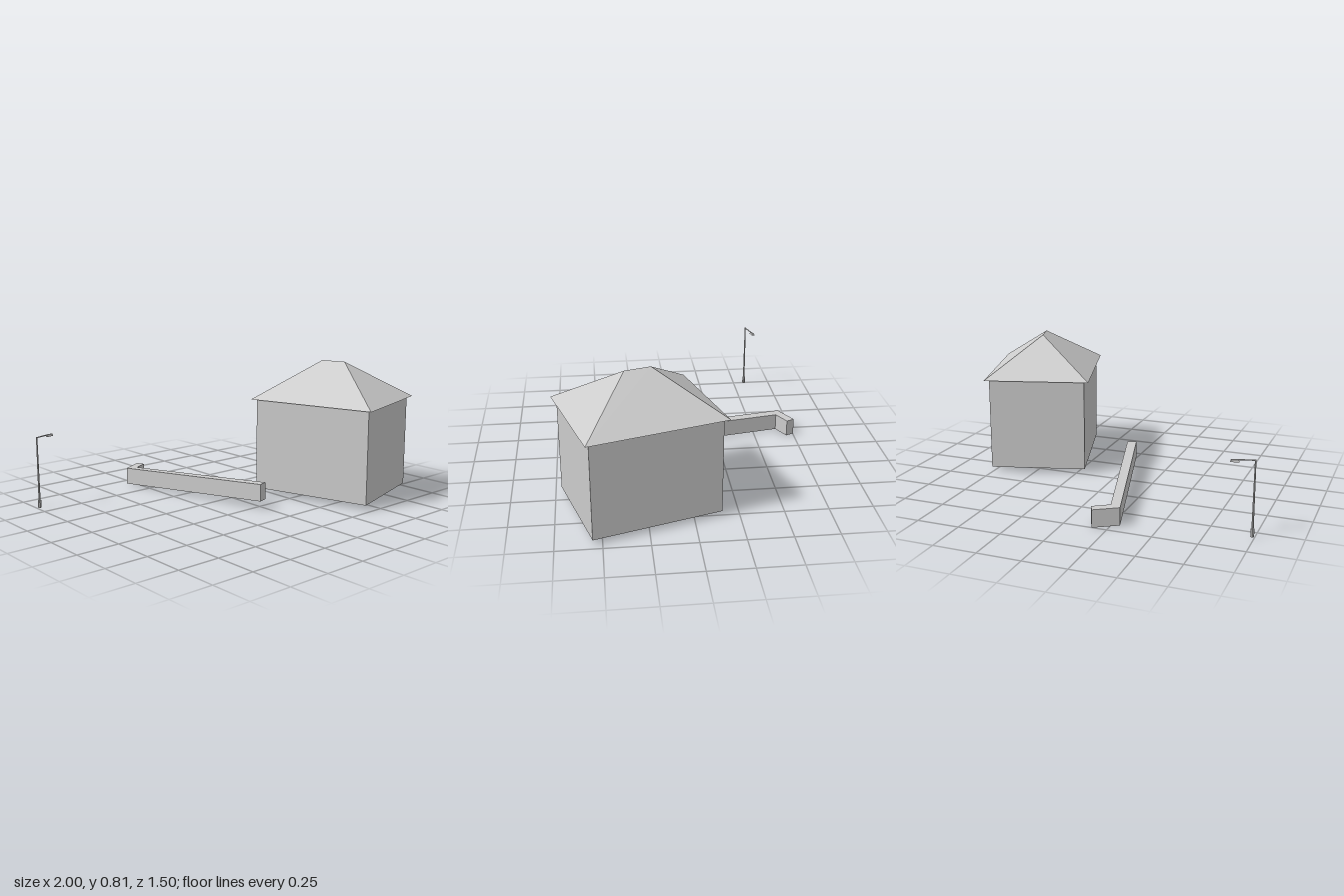
import * as THREE from 'three';

const material = new THREE.MeshStandardMaterial({ color: 0xcccccc, flatShading: true, side: THREE.DoubleSide });
const TURN = 0.288; // shared heading of house and lamp arm

function add(parent, name, geometry, x = 0, y = 0, z = 0) {
  const mesh = new THREE.Mesh(geometry, material);
  mesh.name = name;
  mesh.position.set(x, y, z);
  parent.add(mesh);
  return mesh;
}

// Triangulates three- or four-cornered faces
function facesGeometry(faces) {
  const points = [];
  for (const [a, b, c, d] of faces) {
    points.push(...a, ...b, ...c);
    if (d) points.push(...a, ...c, ...d);
  }
  const geometry = new THREE.BufferGeometry();
  geometry.setAttribute('position', new THREE.Float32BufferAttribute(points, 3));
  geometry.computeVertexNormals();
  return geometry;
}

// Open-bottomed house with an overhanging hip roof
function createHouse() {
  const house = new THREE.Group();
  house.name = 'house';
  house.position.set(0.581, 0, 0.281);
  house.rotation.y = TURN;

  const ring = (w, d, y) => [[-w, y, d], [w, y, d], [w, y, -d], [-w, y, -d]];
  const low = ring(0.291, 0.368, 0.03);
  const high = ring(0.291, 0.368, 0.59);
  add(house, 'houseWalls', facesGeometry(low.map((p, i) => {
    const j = (i + 1) % 4;
    return [p, low[j], high[j], high[i]];
  })));

  const [a, b, c, d] = ring(0.319, 0.393, 0.588);
  const front = [0, 0.815, 0.074];
  const back = [0, 0.815, -0.074];
  add(house, 'hipRoof', facesGeometry([[a, b, front], [b, c, back, front], [c, d, back], [d, a, front, back]]));
  return house;
}

// Sloping L-shaped garden wall, open underneath
function createGardenWall() {
  const outer = [[-0.04, 0.05, 0.298], [-0.298, 0.004, -0.675], [-0.165, 0.001, -0.752]];
  const inner = [[0.015, 0.05, 0.282], [-0.235, 0.004, -0.65], [-0.143, 0.001, -0.703]];
  const up = ([x, y, z]) => [x, y + 0.102, z];
  const faces = [];
  for (let i = 0; i < 2; i++) {
    const [o, p, n, m] = [outer[i], outer[i + 1], inner[i], inner[i + 1]];
    faces.push([p, o, up(o), up(p)], [n, m, up(m), up(n)], [up(o), up(n), up(m), up(p)]);
  }
  faces.push([outer[0], inner[0], up(inner[0]), up(outer[0])]);
  faces.push([inner[2], outer[2], up(outer[2]), up(inner[2])]);
  const wall = new THREE.Group();
  wall.name = 'gardenWall';
  add(wall, 'wallShell', facesGeometry(faces));
  return wall;
}

// Street lamp: base, pole, arm and a tapered head
function createLamp() {
  const lamp = new THREE.Group();
  lamp.name = 'streetLamp';
  lamp.position.set(-0.989, 0, -0.572);
  lamp.rotation.y = TURN;
  add(lamp, 'lampBase', new THREE.CylinderGeometry(0.01, 0.01, 0.044, 8), 0, 0.029, 0);
  add(lamp, 'lampPole', new THREE.CylinderGeometry(0.004, 0.006, 0.38, 8), 0, 0.238, 0);
  const arm = add(lamp, 'lampArm', new THREE.CylinderGeometry(0.0035, 0.0035, 0.11, 8), 0.052, 0.425, 0);
  arm.rotation.z = Math.PI / 2;

  const head = new THREE.BoxGeometry(0.046, 0.012, 0.02);
  const p = head.attributes.position;
  for (let i = 0; i < p.count; i++) {
    if (p.getY(i) > 0) p.setXYZ(i, p.getX(i) * 0.85, p.getY(i), p.getZ(i) * 0.65);
    if (p.getX(i) < 0) p.setZ(i, p.getZ(i) * 0.7);
  }
  head.computeVertexNormals();
  add(lamp, 'lampHead', head, 0.104, 0.42, 0);
  return lamp;
}

export function createModel() {
  const model = new THREE.Group();
  model.name = 'houseWithWallAndLamp';
  model.add(createHouse(), createGardenWall(), createLamp());
  return model;
}
